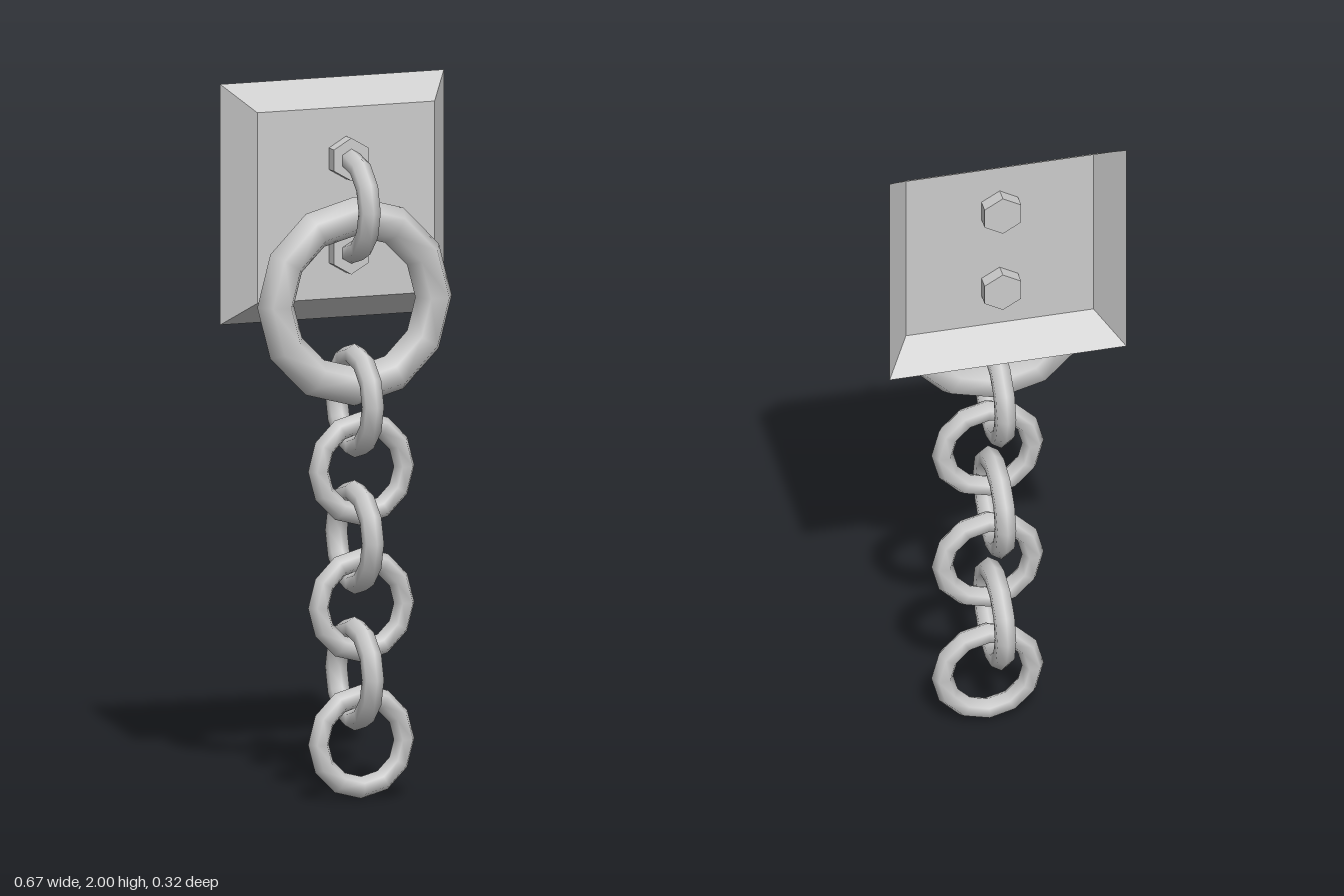
import * as THREE from 'three';

const smooth = new THREE.MeshStandardMaterial({ color: 0xcccccc, side: THREE.DoubleSide });
const flat = new THREE.MeshStandardMaterial({ color: 0xcccccc, flatShading: true, side: THREE.DoubleSide });

export function createModel() {
  const model = new THREE.Group();
  model.name = 'wallRingWithChain';

  const add = (name, geometry, material, x, y, z, parent = model) => {
    const mesh = new THREE.Mesh(geometry, material);
    mesh.name = name;
    mesh.position.set(x, y, z);
    parent.add(mesh);
    return mesh;
  };

  // Wall plate: a bevelled tray, open at the back
  const plate = new THREE.Group();
  plate.name = 'wallPlate';
  plate.position.set(0, 1.665, 0);
  model.add(plate);
  const front = 0.267, back = 0.337, depth = 0.098;
  const bevel = new THREE.CylinderGeometry(front * Math.SQRT2, back * Math.SQRT2, depth, 4, 1, true);
  bevel.rotateY(Math.PI / 4).rotateX(Math.PI / 2);
  add('plateBevel', bevel, flat, 0, 0, -0.109, plate);
  add('plateFace', new THREE.PlaneGeometry(front * 2, front * 2), flat, 0, 0, -0.06, plate);

  // Hexagonal bolts passing through the plate, one at each staple end
  const bolt = new THREE.CylinderGeometry(0.06, 0.06, 0.076, 6).rotateX(Math.PI / 2);
  [1.79, 1.528].forEach((y, i) => add(i ? 'lowerBolt' : 'upperBolt', bolt, flat, 0, y, -0.06));

  // Half-ring staple joining the bolts
  const staple = new THREE.TorusGeometry(0.13, 0.031, 6, 6, Math.PI);
  staple.rotateZ(-Math.PI / 2).rotateY(-Math.PI / 2);
  add('staple', staple, smooth, 0, 1.659, -0.024);

  // Large ring hanging in the staple
  add('largeRing', new THREE.TorusGeometry(0.238, 0.055, 6, 12), smooth, 0, 1.396, 0);

  // Chain of links, alternately turned a quarter
  const link = new THREE.TorusGeometry(0.129, 0.031, 6, 12);
  for (let i = 0; i < 6; i++) {
    const sideways = i % 2 === 0;
    const mesh = add('chainLink' + (i + 1), link, smooth, sideways ? 0 : 0.02, 1.118 - i * 0.1912, 0);
    if (sideways) mesh.rotation.y = Math.PI / 2;
  }

  return model;
}
